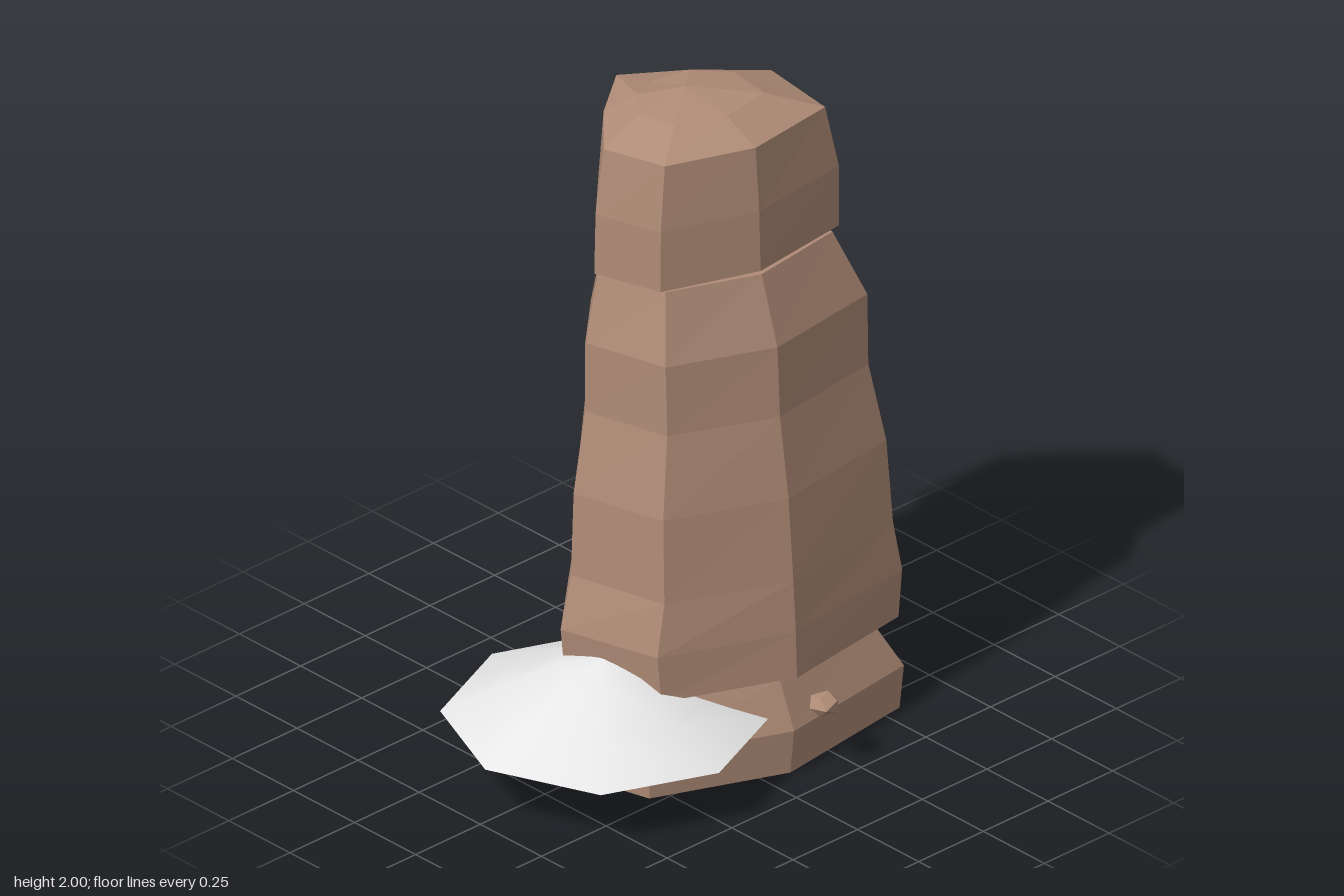
import * as THREE from 'three';

const rock = new THREE.MeshStandardMaterial({ color: 0xb08c77, side: THREE.DoubleSide });
rock.name = 'brown rock';
const snow = new THREE.MeshStandardMaterial({ color: 0xececec, side: THREE.DoubleSide });
snow.name = 'white snow';

// Eight-cornered ring, counter-clockwise from the front corner.
// Row: height, left x, right x, front z, back z, drop of the back corner.
function ring([y, l, r, f, b, drop = 0], cx) {
  const cz = -0.1;
  const bz = (cz + b) / 2 - 0.015;
  return [
    [cx, y, f],
    [cx + 0.9 * (r - cx), y, cz + 0.88 * (f - cz)],
    [r, y, cz],
    [(cx + r) / 2 + 0.01, y, bz],
    [cx, y - drop, b],
    [(cx + l) / 2 - 0.01, y, bz],
    [l, y, cz],
    [cx + 0.82 * (l - cx), y, cz + 0.66 * (f - cz)],
  ];
}

// Faceted block through the rows, with optional closing fans.
function block(name, rows, cx, closeBottom, apexY) {
  const rings = rows.map((row) => ring(row, cx));
  const pos = [];
  const tri = (...corners) => corners.forEach((c) => pos.push(...c));
  for (let i = 0; i < 8; i++) {
    const j = (i + 1) % 8;
    for (let k = 0; k + 1 < rings.length; k++) {
      const lo = rings[k], up = rings[k + 1];
      tri(lo[i], lo[j], up[j]);
      tri(lo[i], up[j], up[i]);
    }
    const last = rings[rings.length - 1];
    tri(last[i], last[j], [cx, apexY, -0.1]);
    if (closeBottom) tri(rings[0][j], rings[0][i], [cx, rows[0][0], -0.1]);
  }
  const geo = new THREE.BufferGeometry();
  geo.setAttribute('position', new THREE.Float32BufferAttribute(pos, 3));
  geo.computeVertexNormals();
  const mesh = new THREE.Mesh(geo, rock);
  mesh.name = name;
  return mesh;
}

export function createModel() {
  const model = new THREE.Group();
  model.name = 'rockPillar';

  // Hollow foot, open underneath
  model.add(block('pillarFoot', [
    [0, -0.39, 0.615, 0.385, -0.47],
    [0.14, -0.4, 0.62, 0.4, -0.475],
    [0.285, -0.32, 0.54, 0.34, -0.42],
  ], 0.085, false, 0.285));

  // Tapering shaft
  model.add(block('pillarShaft', [
    [0.285, -0.33, 0.62, 0.37, -0.46],
    [0.43, -0.345, 0.64, 0.365, -0.48],
    [0.59, -0.305, 0.61, 0.355, -0.455],
    [0.85, -0.295, 0.6, 0.335, -0.44],
    [1.1, -0.25, 0.555, 0.3, -0.42],
    [1.32, -0.25, 0.56, 0.29, -0.4],
    [1.53, -0.2, 0.47, 0.225, -0.345],
  ], 0.125, true, 1.53));

  // Overhanging head with a notched crown
  model.add(block('pillarHead', [
    [1.53, -0.215, 0.51, 0.21, -0.4],
    [1.72, -0.21, 0.515, 0.205, -0.39],
    [1.92, -0.18, 0.47, 0.19, -0.38],
    [1.975, -0.04, 0.32, 0.07, -0.25, 0.025],
  ], 0.135, true, 2));

  // Snow drift leaning on the foot
  const profile = [[0.465, 0.185], [0.3, 0.265], [0.135, 0.345], [0.0001, 0.378]]
    .map(([r, y]) => new THREE.Vector2(r, y));
  const drift = new THREE.Mesh(new THREE.LatheGeometry(profile, 8), snow);
  drift.name = 'snowDrift';
  drift.position.set(-0.285, 0, 0.02);
  model.add(drift);

  // Pebbles
  [[0.17, 0.433, 0.4], [0.71, 0.063, 1.3]].forEach(([x, z, turn], i) => {
    const pebble = new THREE.Mesh(new THREE.IcosahedronGeometry(0.05, 0), rock);
    pebble.name = 'pebble' + (i + 1);
    pebble.scale.set(1, 0.68, 0.95);
    pebble.rotation.y = turn;
    pebble.position.set(x, 0.21, z);
    model.add(pebble);
  });

  return model;
}
